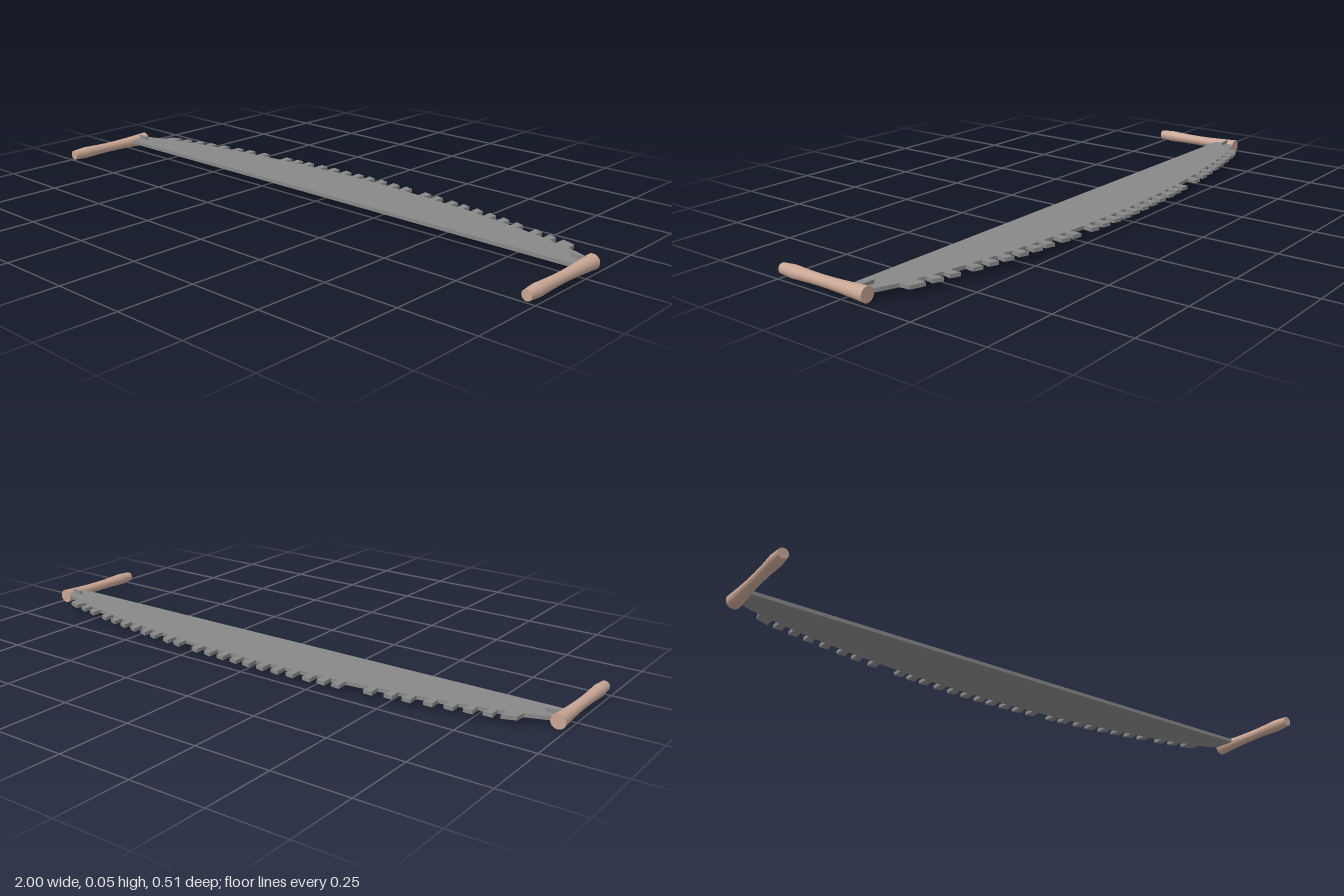
import * as THREE from 'three';

const STEEL = new THREE.MeshStandardMaterial({ color: 0x888888 });
const WOOD = new THREE.MeshStandardMaterial({ color: 0xc8a594 });

// Arched line through the roots of the teeth
const root = (x) => 0.21 - 0.135 * x * x;

// Left edge of every tooth along the blade, in uneven groups
const TEETH = [-0.82, -0.765, -0.71, -0.65, -0.585, -0.53, -0.465, -0.36, -0.31, -0.26, -0.2, -0.145,
  -0.09, -0.035, 0.015, 0.07, 0.125, 0.18, 0.265, 0.315, 0.38, 0.43, 0.485, 0.54, 0.595, 0.65, 0.725, 0.78];

function makeBlade() {
  const s = new THREE.Shape();
  s.moveTo(-0.97, 0);
  s.lineTo(0.97, 0);
  s.lineTo(0.965, 0.065);
  s.lineTo(0.94, 0.08);
  s.lineTo(0.885, 0.1);
  // End tooth on the left side
  s.lineTo(0.882, 0.135);
  s.lineTo(0.838, 0.15);
  s.lineTo(0.835, root(0.835) - 0.005);
  // Flared teeth with slanted tips
  for (const x of [...TEETH].reverse()) {
    const h = 0.042 - 0.008 * Math.abs(x);
    s.lineTo(x + 0.028, root(x + 0.028));
    s.lineTo(x + 0.033, root(x + 0.033) + h - 0.006);
    s.lineTo(x + 0.003, root(x) + h);
    s.lineTo(x + 0.005, root(x + 0.005));
  }
  // End tooth on the right side
  s.lineTo(-0.838, root(0.838) - 0.005);
  s.lineTo(-0.838, 0.148);
  s.lineTo(-0.88, 0.132);
  s.lineTo(-0.885, 0.1);
  s.lineTo(-0.94, 0.08);
  s.lineTo(-0.965, 0.065);
  s.closePath();
  const geo = new THREE.ExtrudeGeometry(s, { depth: 0.012, bevelEnabled: false });
  geo.rotateX(-Math.PI / 2).translate(0, 0.022, 0);
  const mesh = new THREE.Mesh(geo, STEEL);
  mesh.name = 'blade';
  return mesh;
}

function makeHandle() {
  // Turned grip, listed as [radius, position along z]
  const wall = new THREE.SplineCurve([
    [0.0235, -0.075], [0.021, -0.03], [0.0185, 0.02], [0.017, 0.08], [0.0175, 0.14], [0.0203, 0.208],
  ].map(([r, z]) => new THREE.Vector2(r, z))).getPoints(12);
  const caps = [
    [new THREE.Vector2(0, -0.075), wall[0]],
    wall,
    [wall[12], new THREE.Vector2(0.0165, 0.255)],
    [new THREE.Vector2(0.0165, 0.255), new THREE.Vector2(0, 0.255)],
  ];
  const group = new THREE.Group();
  group.name = 'handle';
  // Separate sections keep the rims sharp
  caps.forEach((pts, i) => {
    const mesh = new THREE.Mesh(new THREE.LatheGeometry(pts, 24).rotateX(Math.PI / 2), WOOD);
    mesh.name = ['handleFrontCap', 'handleGrip', 'handleTaper', 'handleEndCap'][i];
    group.add(mesh);
  });
  return group;
}

export function createModel() {
  const model = new THREE.Group();
  model.name = 'crosscutSaw';
  model.add(makeBlade());
  for (const side of [-1, 1]) {
    const handle = makeHandle();
    handle.position.set(side * 0.9755, 0.024, 0);
    model.add(handle);
    // Small fastening pin lying on the blade
    const pin = new THREE.Mesh(new THREE.BoxGeometry(0.05, 0.012, 0.008), STEEL);
    pin.name = 'handlePin';
    pin.position.set(side * 0.95, 0.039, -0.045);
    model.add(pin);
  }
  return model;
}
